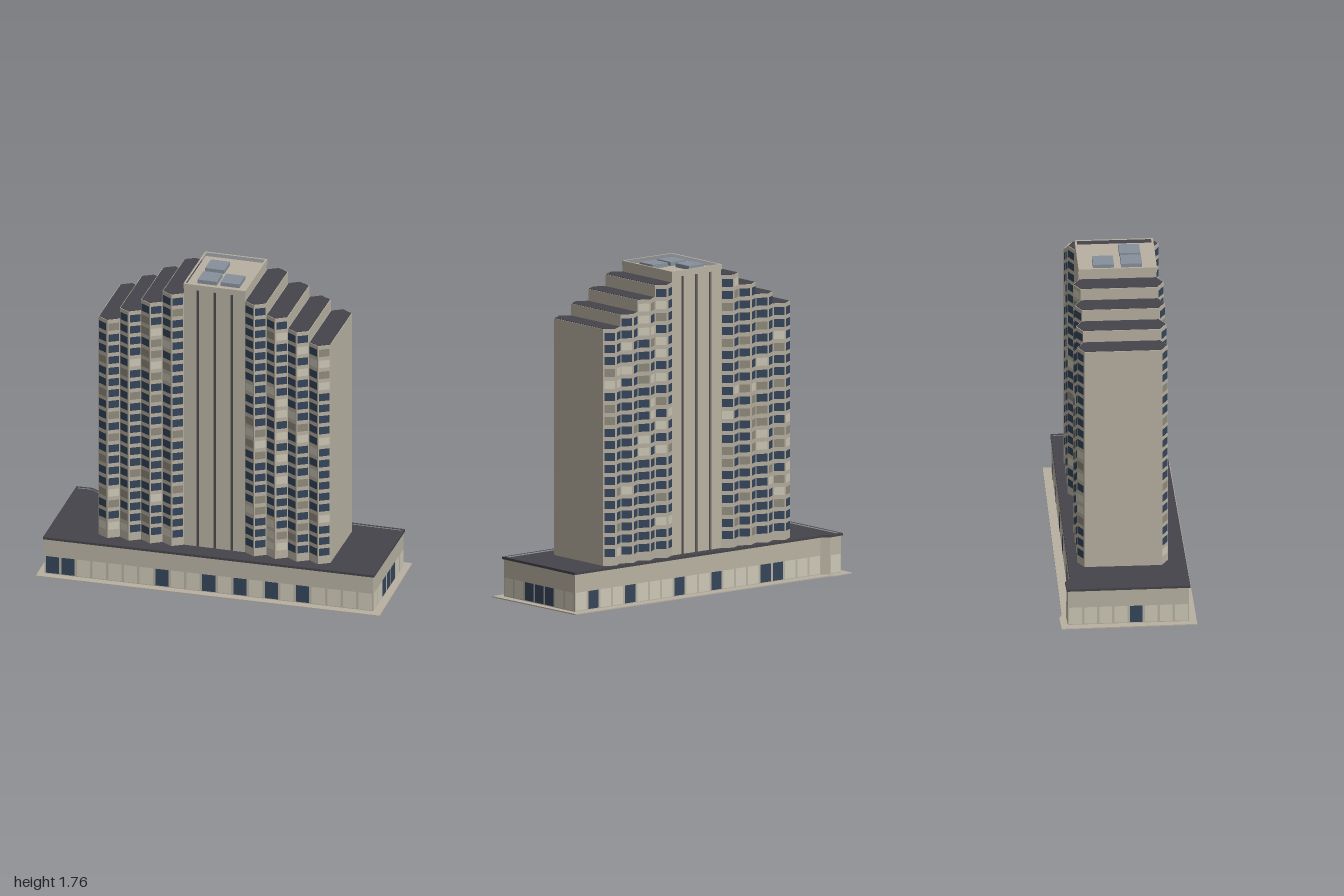
import * as THREE from 'three';
import { mergeGeometries } from 'three/addons/utils/BufferGeometryUtils.js';

const mat = (color) => new THREE.MeshStandardMaterial({ color, flatShading: true });
const MAT = {
  wall: mat(0xb8b1a2), roof: mat(0x45444a), glass: mat(0x34455a), lit: mat(0xccc8b6),
  blind: mat(0x8f8a7c), groove: mat(0x4a4a4c), unit: mat(0x87909b),
};

// Prism from a plan outline of [x, z] points, between two heights
function prism(name, points, y0, y1, material, hole) {
  const toV = (p) => new THREE.Vector2(p[0], -p[1]);
  const shape = new THREE.Shape(points.map(toV));
  if (hole) shape.holes.push(new THREE.Path(hole.map(toV)));
  const g = new THREE.ExtrudeGeometry(shape, { depth: y1 - y0, bevelEnabled: false });
  g.rotateX(-Math.PI / 2).translate(0, y0, 0);
  const m = new THREE.Mesh(g, material);
  m.name = name;
  return m;
}

const rect = (w, d) => [[-w, -d], [w, -d], [w, d], [-w, d]];

// Move each corner of a plan outline outward by d (outline runs clockwise seen from above)
function offset(points, d) {
  const n = points.length;
  const normal = (a, b) => {
    const dx = b[0] - a[0], dz = b[1] - a[1], l = Math.hypot(dx, dz);
    return [dz / l, -dx / l];
  };
  return points.map((p, i) => {
    const a = normal(points[(i + n - 1) % n], p), b = normal(p, points[(i + 1) % n]);
    const k = d / (1 + a[0] * b[0] + a[1] * b[1]);
    return [p[0] + (a[0] + b[0]) * k, p[1] + (a[1] + b[1]) * k];
  });
}

let seed = 7;
const rand = () => (seed = (seed * 16807) % 2147483647) / 2147483647;

// Collects window panes by colour and merges each colour into one mesh
function paneSet(name) {
  const sets = { glass: [], lit: [], blind: [] };
  return {
    // Pane on the wall from a to b, at fraction t along it
    add(kind, a, b, t, w, y, h) {
      const dx = b[0] - a[0], dz = b[1] - a[1], l = Math.hypot(dx, dz);
      const nx = dz / l, nz = -dx / l;
      const g = new THREE.PlaneGeometry(w, h);
      g.rotateY(Math.atan2(nx, nz));
      g.translate(a[0] + dx * t + nx * 0.002, y, a[1] + dz * t + nz * 0.002);
      sets[kind].push(g);
    },
    addTo(group) {
      for (const kind in sets) {
        if (!sets[kind].length) continue;
        const m = new THREE.Mesh(mergeGeometries(sets[kind]), MAT[kind]);
        m.name = `${name} ${kind}`;
        group.add(m);
      }
    },
  };
}

function buildPodium() {
  const g = new THREE.Group();
  g.name = 'podium';
  const pavement = [[-1, -0.233], [-0.88, -0.257], [-0.837, -0.247], [0.885, -0.492], [1, 0.179], [-0.88, 0.485]];
  const walls = [[-0.95, -0.203], [-0.87, -0.218], [-0.826, -0.197], [0.857, -0.441], [0.946, 0.143], [-0.85, 0.438]];
  g.add(prism('pavement', pavement, 0, 0.006, MAT.wall));
  g.add(prism('podiumWalls', walls, 0.006, 0.208, MAT.wall));
  g.add(prism('podiumRoof', walls, 0.208, 0.213, MAT.roof));
  g.add(prism('podiumParapet', offset(walls, 0.007), 0.208, 0.221, MAT.roof, offset(walls, -0.008)));

  // Shop windows along every long wall
  const panes = paneSet('shopWindows');
  const rows = [
    [0, 1, 1, []], [2, 3, 20, [3, 4, 8, 11, 15, 18]], [3, 4, 7, [2, 3, 4]],
    [4, 5, 21, [4, 6, 8, 10, 13, 19, 20]], [5, 0, 8, [3]],
  ];
  for (const [a, b, count, dark] of rows)
    for (let i = 0; i < count; i++) {
      const l = Math.hypot(walls[b][0] - walls[a][0], walls[b][1] - walls[a][1]);
      panes.add(dark.includes(i) ? 'glass' : 'lit', walls[a], walls[b],
        (i + 0.5) / count, (l / count) * 0.84, 0.06, 0.098);
    }
  panes.addTo(g);
  return g;
}

const DEPTH = 0.207, CORE = 0.17, BAY = 0.119, PEAK = 0.036, BASE = 0.208, FLOOR = 0.0653;

function buildWings() {
  const g = new THREE.Group();
  g.name = 'wings';
  const panes = paneSet('bayWindows');
  for (const side of [-1, 1])
    for (let i = 0; i < 4; i++) {
      // Bay with a pointed front and back, one floor lower at each step outward
      const x = side * (CORE + BAY * (i + 0.5)), w = BAY / 2, top = 1.697 - i * 0.0655;
      const plan = [
        [x - w, -DEPTH], [x, -DEPTH - PEAK], [x + w, -DEPTH],
        [x + w, DEPTH], [x, DEPTH + PEAK], [x - w, DEPTH],
      ];
      g.add(prism('wingBay', plan, BASE, top, MAT.wall));
      g.add(prism('wingBayRoof', offset(plan, -0.004), top, top + 0.002, MAT.roof));
      for (const [a, b] of [[0, 1], [1, 2], [3, 4], [4, 5]])
        for (let f = 0; f < 22 - i; f++) {
          const r = rand();
          const kind = r < 0.76 ? 'glass' : r < 0.87 ? 'lit' : 'blind';
          panes.add(kind, plan[a], plan[b], 0.5, 0.058, 0.283 + f * FLOOR, 0.043);
        }
    }
  panes.addTo(g);
  return g;
}

function buildCore() {
  const g = new THREE.Group();
  g.name = 'core';
  // Outline with three vertical grooves on the front and back
  const half = 0.009, deep = 0.015, back = [], front = [];
  for (const x of [-0.095, 0, 0.095]) {
    back.push([x - half, -DEPTH], [x - half, -DEPTH + deep], [x + half, -DEPTH + deep], [x + half, -DEPTH]);
    front.unshift([x + half, DEPTH], [x + half, DEPTH - deep], [x - half, DEPTH - deep], [x - half, DEPTH]);
    for (const s of [-1, 1]) {
      const strip = new THREE.Mesh(new THREE.BoxGeometry(half * 2, 1.515, 0.004), MAT.groove);
      strip.position.set(x, BASE + 0.7575, s * (DEPTH - deep + 0.002));
      strip.name = 'grooveStrip';
      g.add(strip);
    }
  }
  const plan = [[-CORE, -DEPTH], ...back, [CORE, -DEPTH], [CORE, DEPTH], ...front, [-CORE, DEPTH]];
  g.add(prism('coreTower', plan, BASE, 1.724, MAT.wall));
  g.add(prism('coreRoof', rect(CORE, DEPTH), 1.724, 1.732, MAT.wall));
  g.add(prism('coreParapet', rect(CORE + 0.003, DEPTH + 0.003), 1.728, 1.757, MAT.wall,
    rect(CORE - 0.008, DEPTH - 0.008)));
  // Rooftop machinery
  for (const [x, z] of [[-0.064, -0.073], [-0.062, 0.078], [0.064, 0.076]]) {
    const unit = new THREE.Mesh(new THREE.BoxGeometry(0.106, 0.022, 0.112), MAT.unit);
    unit.position.set(x, 1.743, z);
    unit.name = 'roofUnit';
    g.add(unit);
  }
  return g;
}

export function createModel() {
  const model = new THREE.Group();
  model.name = 'highRise';
  const tower = new THREE.Group();
  tower.name = 'tower';
  tower.add(buildWings(), buildCore());
  tower.rotation.y = 0.145;
  tower.position.z = -0.026;
  model.add(buildPodium(), tower);
  return model;
}
